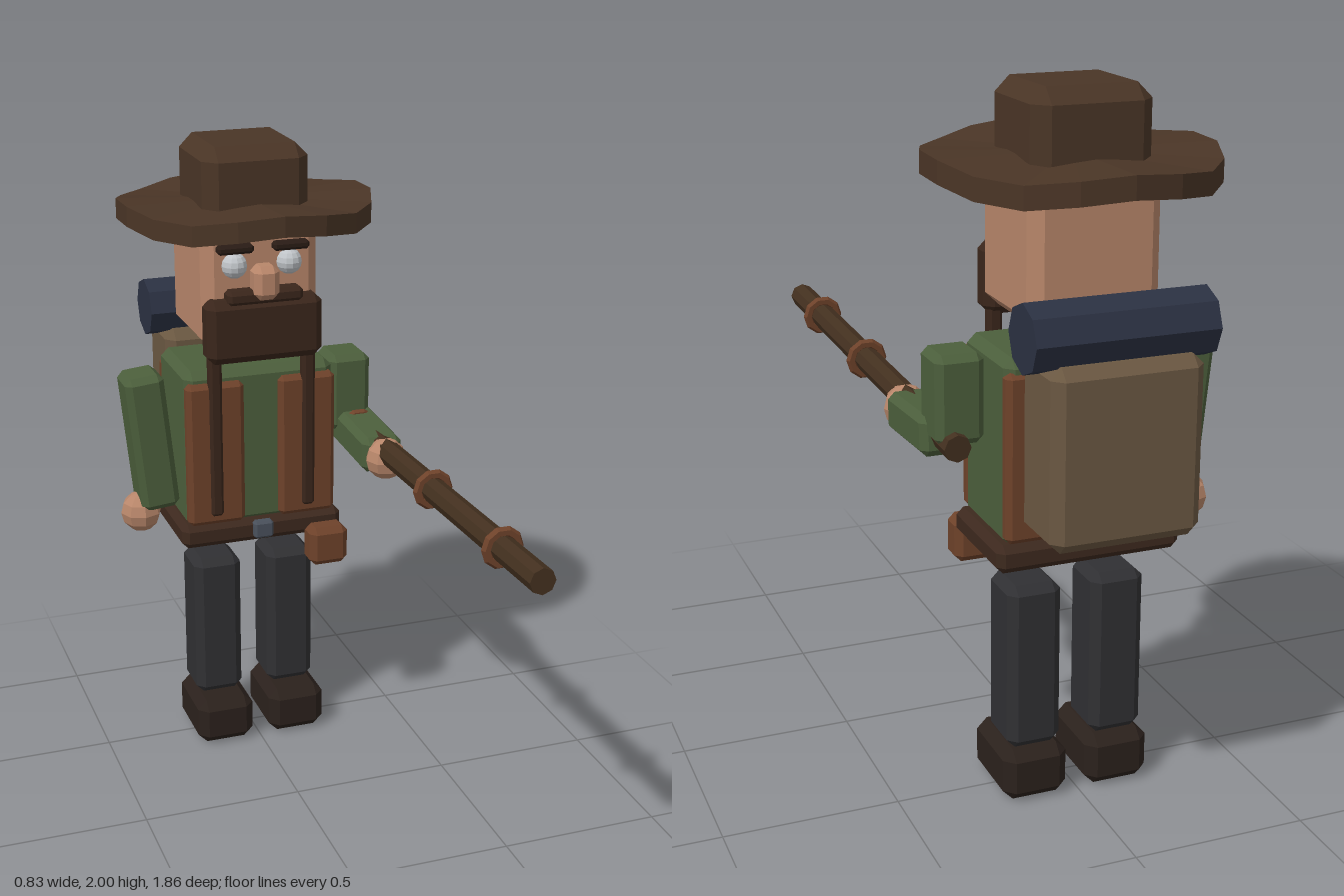
import * as THREE from 'three';
import { ConvexGeometry } from 'three/addons/geometries/ConvexGeometry.js';

const mat = (color) => new THREE.MeshStandardMaterial({ color, flatShading: true });
const M = {
  skin: mat(0xb8866a), green: mat(0x4c5f3c), vest: mat(0x6e422a), leather: mat(0x3d291e),
  hat: mat(0x4a3526), trousers: mat(0x303033), boot: mat(0x2b211c), pack: mat(0x6b5842),
  bedroll: mat(0x2b3142), hair: mat(0x3a261b), brow: mat(0x2a1c15), eye: mat(0xc0c4c8),
  metal: mat(0x4a515c), barrel: mat(0x43301f),
};
const CX = 0.005, CZ = -0.53; // body axis

export function createModel() {
  const root = new THREE.Group();

  const add = (name, geo, m, x, y, z) => {
    const mesh = new THREE.Mesh(geo, m);
    mesh.name = name;
    mesh.position.set(x, y, z);
    root.add(mesh);
    return mesh;
  };

  // Box with chamfered edges
  const box = (name, m, w, h, d, x, y, z, c = 0.02) => {
    c = Math.min(c, w * 0.3, h * 0.3, d * 0.3);
    const pts = [];
    for (const i of [-1, 1]) for (const j of [-1, 1]) for (const k of [-1, 1]) {
      const a = w / 2, b = h / 2, e = d / 2;
      pts.push(
        new THREE.Vector3(i * a, j * (b - c), k * (e - c)),
        new THREE.Vector3(i * (a - c), j * b, k * (e - c)),
        new THREE.Vector3(i * (a - c), j * (b - c), k * e));
    }
    return add(name, new ConvexGeometry(pts), m, x, y, z);
  };
  const ball = (name, m, r, x, y, z) =>
    add(name, new THREE.SphereGeometry(r, 8, 6), m, x, y, z);

  // Parts mirrored about the body axis
  for (const [s, side] of [[-1, 'right'], [1, 'left']]) {
    box(side + 'Boot', M.boot, 0.19, 0.155, 0.263, CX + s * 0.124, 0.0775, -0.502, 0.03);
    box(side + 'Leg', M.trousers, 0.157, 0.49, 0.17, CX + s * 0.124, 0.4, CZ, 0.025);
    box(side + 'VestFront', M.vest, 0.187, 0.47, 0.05, CX + s * 0.15, 1.045, -0.378);
    box(side + 'VestBack', M.vest, 0.187, 0.47, 0.05, CX + s * 0.15, 1.045, -0.67);
    box(side + 'Braid', M.hair, 0.043, 0.54, 0.036, CX + s * 0.152, 1.11, -0.362, 0.01);
    box(side + 'Brow', M.brow, 0.115, 0.028, 0.036, CX + s * 0.088, 1.705, -0.338, 0.01);
    add(side + 'Eye', new THREE.SphereGeometry(0.04, 12, 8), M.eye, CX + s * 0.087, 1.652, -0.35);
  }

  // Torso, belt and pouch
  box('torso', M.green, 0.485, 0.52, 0.31, CX, 1.055, CZ, 0.025);
  box('belt', M.leather, 0.533, 0.08, 0.34, CX + 0.003, 0.77, CZ);
  box('buckle', M.metal, 0.065, 0.058, 0.035, CX, 0.775, -0.358, 0.008);
  box('pouch', M.vest, 0.128, 0.13, 0.092, 0.213, 0.705, -0.34);

  // Head and face
  box('neck', M.skin, 0.155, 0.12, 0.145, CX, 1.35, CZ);
  box('head', M.skin, 0.37, 0.4, 0.36, CX, 1.585, CZ, 0.035);
  box('nose', M.skin, 0.08, 0.105, 0.08, CX, 1.602, -0.322);
  box('moustache', M.hair, 0.24, 0.045, 0.06, CX, 1.558, -0.332, 0.012);
  box('beard', M.hair, 0.37, 0.2, 0.092, CX, 1.452, -0.348, 0.025);

  // Hat: brim rippled around its rim, with a boxy crown
  const brimGeo = new THREE.CylinderGeometry(0.395, 0.395, 0.062, 18);
  const p = brimGeo.attributes.position;
  for (let i = 0; i < p.count; i++) {
    const x = p.getX(i), z = p.getZ(i), r = Math.hypot(x, z) / 0.395;
    p.setY(i, p.getY(i) + r * 0.014 * Math.cos(4 * Math.atan2(z, x)) + z * 0.03);
  }
  add('hatBrim', brimGeo, M.hat, CX + 0.003, 1.786, -0.528);
  box('hatCrown', M.hat, 0.335, 0.24, 0.325, CX, 1.88, CZ, 0.042);

  // Backpack and rolled blanket
  box('backpack', M.pack, 0.42, 0.49, 0.225, CX, 1.105, -0.812, 0.03);
  add('bedroll', new THREE.CylinderGeometry(0.093, 0.093, 0.505, 8), M.bedroll, CX, 1.41, -0.816)
    .rotation.z = Math.PI / 2;

  // Hanging right arm
  box('rightArm', M.green, 0.125, 0.45, 0.14, -0.32, 1.062, CZ).rotation.z = 0.1;
  ball('rightHand', M.skin, 0.066, -0.353, 0.817, CZ);

  // Bent left arm
  box('leftUpperArm', M.green, 0.137, 0.25, 0.145, 0.324, 1.18, -0.49);
  box('leftForearm', M.green, 0.13, 0.115, 0.305, 0.345, 1.055, -0.333).rotation.x = 0.05;
  ball('leftHand', M.skin, 0.065, 0.345, 1.046, -0.16);

  // Long gun, tilted slightly upwards, with bands along the barrel
  const gun = new THREE.Group();
  gun.name = 'longGun';
  gun.position.set(0.345, 1.083, 0.17);
  gun.rotation.x = -0.03;
  const barrel = new THREE.Mesh(new THREE.CylinderGeometry(0.038, 0.038, 1.52, 8), M.barrel);
  barrel.name = 'barrel';
  barrel.rotation.x = Math.PI / 2;
  gun.add(barrel);
  for (const z of [0.515, 0.04, -0.57]) {
    const band = new THREE.Mesh(new THREE.TorusGeometry(0.048, 0.015, 6, 10), M.vest);
    band.name = 'barrelBand';
    band.position.z = z;
    gun.add(band);
  }
  root.add(gun);

  return root;
}
